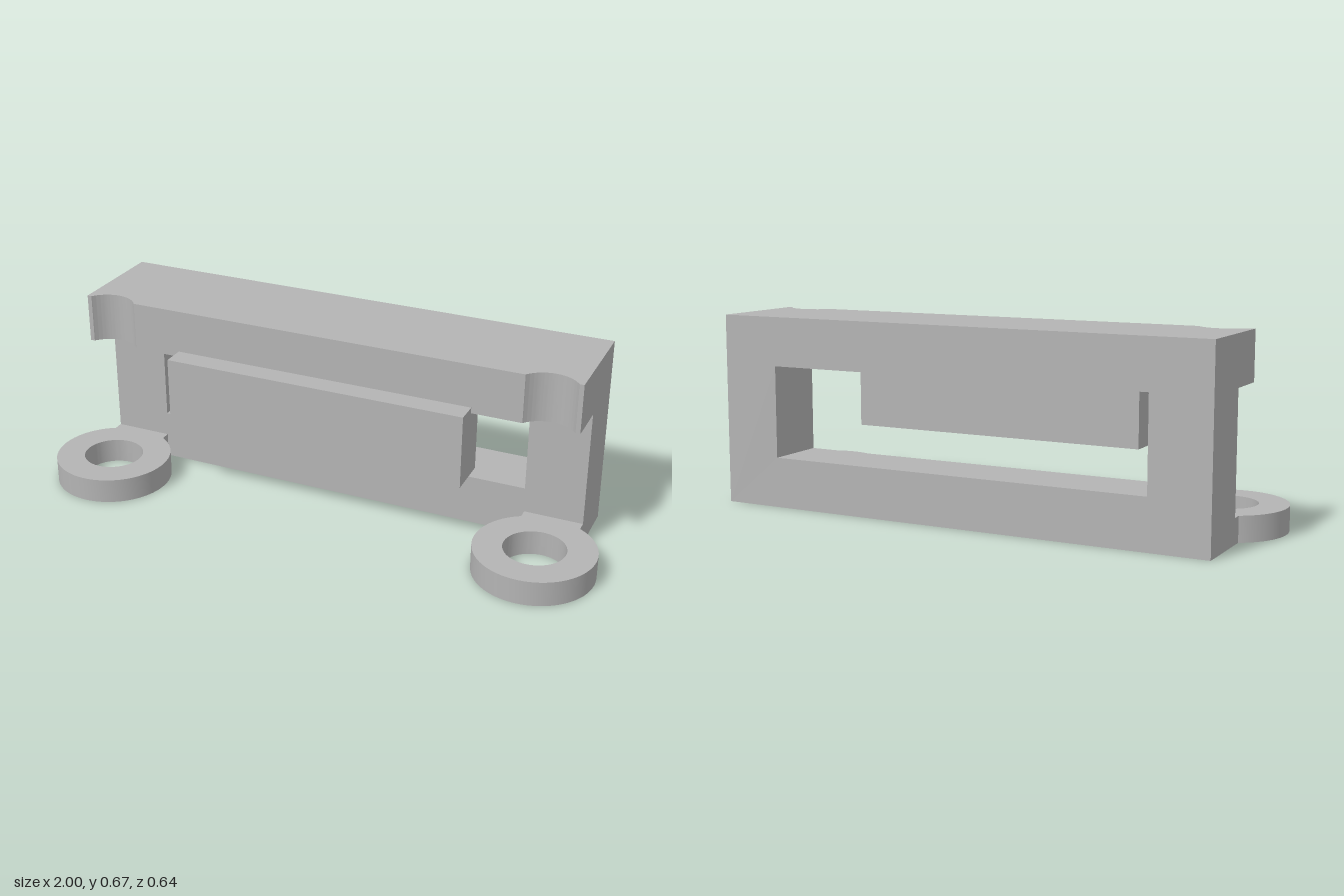
import * as THREE from 'three';
import { toCreasedNormals } from 'three/addons/utils/BufferGeometryUtils.js';

const HALF = 0.897;               // half width of the frame
const BACK = -0.318, FACE = -0.1; // frame depth range
const LIP = 0.053;                // front of the top overhang
const HX = 0.795, HZ = 0.113;     // screw hole centre
const HOLE = 0.105, RING = 0.205;

// Extrude a plan drawn in (x, z) upward from y0 to y1
function extrudePlan(shape, y0, y1) {
  const geo = new THREE.ExtrudeGeometry(shape, { depth: y1 - y0, bevelEnabled: false, curveSegments: 40 });
  geo.rotateX(Math.PI / 2).translate(0, y1, 0);
  return toCreasedNormals(geo, 0.5);
}

export function createModel() {
  const group = new THREE.Group();
  const grey = new THREE.MeshStandardMaterial({ color: 0xb4b4b4 });
  grey.name = 'plain grey';
  const add = (name, geo) => {
    const mesh = new THREE.Mesh(geo, grey);
    mesh.name = name;
    group.add(mesh);
    return mesh;
  };

  // Upright frame with a rectangular window
  const frame = new THREE.Shape();
  frame.moveTo(-HALF, 0).lineTo(HALF, 0).lineTo(HALF, 0.665).lineTo(-HALF, 0.665).closePath();
  const gap = new THREE.Path();
  gap.moveTo(-0.69, 0.175).lineTo(-0.69, 0.495).lineTo(0.69, 0.495).lineTo(0.69, 0.175).closePath();
  frame.holes.push(gap);
  const frameGeo = new THREE.ExtrudeGeometry(frame, { depth: FACE - BACK, bevelEnabled: false });
  add('windowFrame', frameGeo.translate(0, 0, BACK));

  // Top overhang, notched above each screw hole
  const notch = Math.asin((HZ - LIP) / HOLE);
  const lip = new THREE.Shape();
  lip.moveTo(-HALF, FACE).lineTo(HALF, FACE).lineTo(HALF, LIP);
  for (const x of [HX, -HX]) lip.absarc(x, HZ, HOLE, -notch, notch - Math.PI, true);
  lip.lineTo(-HALF, LIP).closePath();
  add('topOverhang', extrudePlan(lip, 0.495, 0.665));

  // Front panel hanging from the overhang
  const panel = add('frontPanel', new THREE.BoxGeometry(1.074, 0.255, 0.15));
  panel.position.set(0, 0.3875, 0.057);

  // Mounting rings, each joined to the frame by a short tab
  const tab = HALF - HX;
  const a = Math.acos(tab / RING);
  for (const [name, x] of [['leftMountingRing', HX], ['rightMountingRing', -HX]]) {
    const ring = new THREE.Shape();
    ring.moveTo(-tab, FACE - HZ).lineTo(tab, FACE - HZ);
    ring.absarc(0, 0, RING, -a, Math.PI + a, false);
    ring.closePath();
    const hole = new THREE.Path();
    hole.absarc(0, 0, HOLE, 0, Math.PI * 2, true);
    ring.holes.push(hole);
    add(name, extrudePlan(ring, 0, 0.087)).position.set(x, 0, HZ);
  }
  return group;
}
